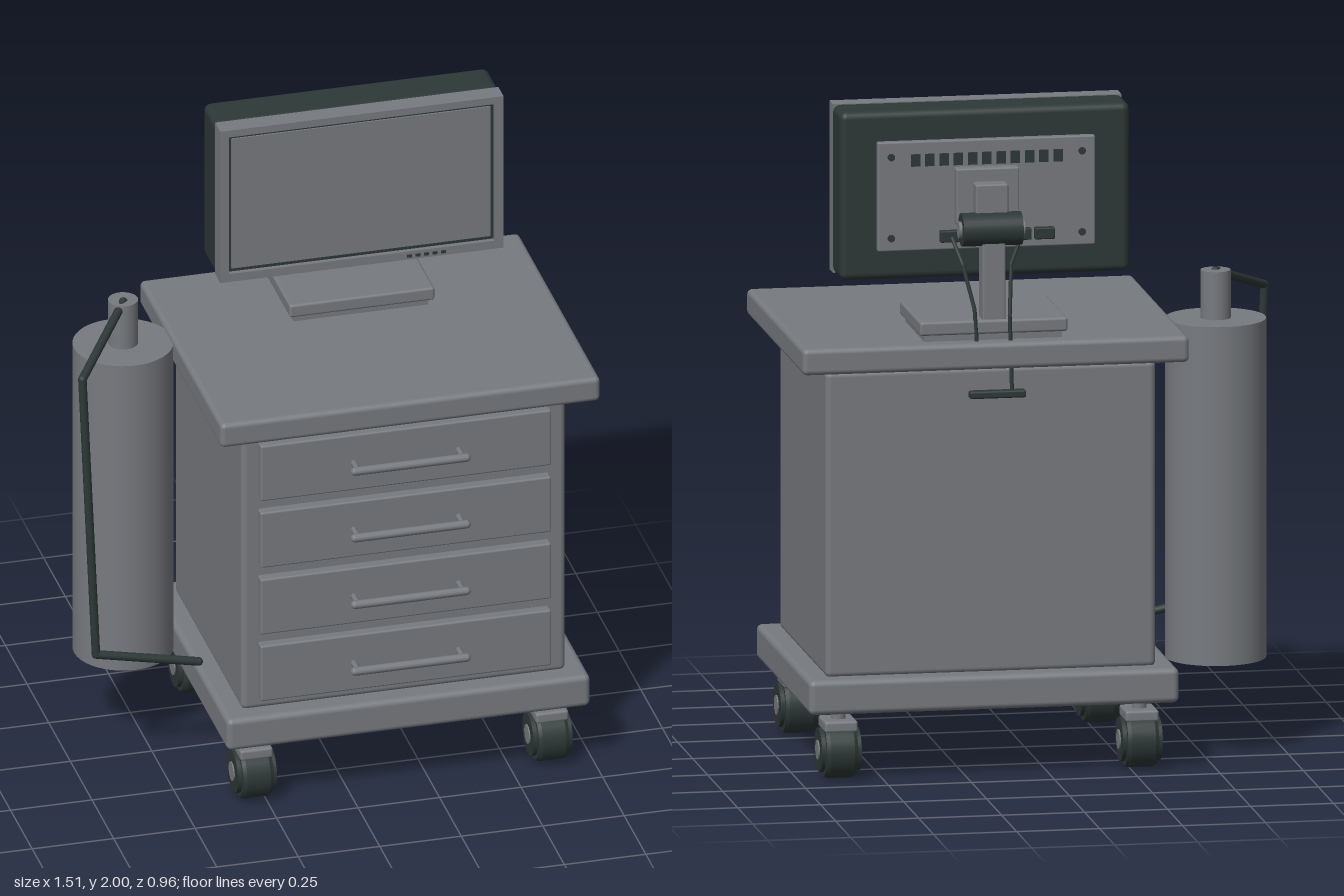
import * as THREE from 'three';
import { RoundedBoxGeometry } from 'three/addons/geometries/RoundedBoxGeometry.js';

export function createModel() {
  const root = new THREE.Group();
  root.name = 'equipmentCart';
  const material = (name, color) => {
    const m = new THREE.MeshStandardMaterial({ color });
    m.name = name;
    return m;
  };
  const grey = material('grey metal', 0x777a7f);
  const dark = material('dark rubber', 0x2d3836);

  const add = (name, geo, mat, parent = root) => {
    const mesh = new THREE.Mesh(geo, mat);
    mesh.name = name;
    parent.add(mesh);
    return mesh;
  };
  // box from its limits; r > 0 rounds the edges
  const box = (name, mat, x0, x1, y0, y1, z0, z1, r = 0, parent = root) => {
    const s = [x1 - x0, y1 - y0, z1 - z0];
    const geo = r ? new RoundedBoxGeometry(...s, 3, r) : new THREE.BoxGeometry(...s);
    const mesh = add(name, geo, mat, parent);
    mesh.position.set((x0 + x1) / 2, (y0 + y1) / 2, (z0 + z1) / 2);
    return mesh;
  };
  // cylinder centred at a point, along the axis 'x', 'y' or 'z'
  const cyl = (name, mat, r, len, axis, x, y, z, seg = 24, parent = root) => {
    const geo = new THREE.CylinderGeometry(r, r, len, seg);
    if (axis === 'x') geo.rotateZ(Math.PI / 2);
    if (axis === 'z') geo.rotateX(Math.PI / 2);
    const mesh = add(name, geo, mat, parent);
    mesh.position.set(x, y, z);
    return mesh;
  };
  // tube made of straight runs with ball joints
  const pipe = (name, mat, r, pts, parent = root) => {
    const g = new THREE.Group();
    g.name = name;
    parent.add(g);
    const v = pts.map((p) => new THREE.Vector3(...p));
    v.forEach((p, i) => {
      add(name + 'Joint', new THREE.SphereGeometry(r, 12, 8), mat, g).position.copy(p);
      if (!i) return;
      const run = new THREE.LineCurve3(v[i - 1], p);
      add(name + 'Run', new THREE.TubeGeometry(run, 1, r, 12), mat, g);
    });
  };

  // cabinet
  box('baseSlab', grey, -0.385, 0.73, 0.21, 0.315, -0.455, 0.44, 0.018);
  box('cabinetBody', grey, -0.325, 0.67, 0.31, 1.237, -0.395, 0.38, 0.018);
  box('topSpacer', grey, -0.1, 0.45, 1.23, 1.25, -0.29, 0.01);
  box('tableTop', grey, -0.41, 0.755, 1.245, 1.325, -0.485, 0.46, 0.016);

  // drawers with bar handles
  for (let i = 0; i < 4; i++) {
    const y = 0.443 + i * 0.2245;
    const drawer = new THREE.Group();
    drawer.name = 'drawer';
    root.add(drawer);
    box('drawerFront', grey, -0.275, 0.617, y - 0.093, y + 0.093, 0.375, 0.411, 0.006, drawer);
    const bar = add('handleBar', new THREE.CapsuleGeometry(0.013, 0.342, 4, 12), grey, drawer);
    bar.rotation.z = Math.PI / 2;
    bar.position.set(0.171, y, 0.465);
    for (const x of [0.01, 0.332]) cyl('handlePost', grey, 0.009, 0.06, 'z', x, y, 0.437, 10, drawer);
  }

  // casters: turned wheel profile with hub caps on both sides
  const wheelProfile = [[0, -0.06], [0.066, -0.06], [0.066, -0.047], [0.079, -0.047], [0.085, -0.036],
    [0.085, 0.036], [0.079, 0.047], [0.066, 0.047], [0.066, 0.06], [0, 0.06]];
  // each run gets its own points so the steps stay sharp
  const wheelPoints = wheelProfile.flatMap(([r, h]) => [new THREE.Vector2(r, h), new THREE.Vector2(r, h)]);
  const wheelGeo = new THREE.LatheGeometry(wheelPoints, 28).rotateZ(Math.PI / 2);
  for (const x of [-0.282, 0.625]) {
    for (const z of [0.335, -0.35]) {
      const caster = new THREE.Group();
      caster.name = 'caster';
      caster.position.set(x, 0.087, z);
      root.add(caster);
      add('wheel', wheelGeo, dark, caster);
      cyl('hub', grey, 0.03, 0.128, 'x', 0, 0, 0, 10, caster);
      box('bracket', grey, -0.05, 0.05, 0.06, 0.094, -0.058, 0.058, 0.008, caster);
      cyl('stem', grey, 0.022, 0.05, 'y', 0, 0.11, 0, 16, caster);
    }
  }

  // gas cylinder and hose
  cyl('tank', grey, 0.15, 1.025, 'y', -0.55, 0.7975, -0.145, 40);
  cyl('tankNeck', grey, 0.045, 0.15, 'y', -0.55, 1.38, -0.145, 24);
  pipe('hose', dark, 0.013, [[-0.55, 1.45, -0.14], [-0.745, 1.35, 0.12], [-0.71, 0.432, 0.145], [-0.395, 0.365, 0.145]]);

  // monitor
  const monitor = new THREE.Group();
  monitor.name = 'monitor';
  root.add(monitor);
  const rect = (P, x0, x1, y0, y1) => new P([[x0, y0], [x1, y0], [x1, y1], [x0, y1]].map((p) => new THREE.Vector2(...p)));
  const bezelShape = rect(THREE.Shape, -0.262, 0.607, 1.49, 2);
  bezelShape.holes.push(rect(THREE.Path, -0.235, 0.58, 1.517, 1.977));
  const bezel = new THREE.ExtrudeGeometry(bezelShape, { depth: 0.02, bevelEnabled: false });
  add('bezel', bezel, grey, monitor).position.z = -0.125;
  box('frontShell', grey, -0.262, 0.607, 1.49, 2, -0.165, -0.125, 0, monitor);
  box('screenRim', dark, -0.235, 0.58, 1.517, 1.977, -0.125, -0.12, 0, monitor);
  box('screen', grey, -0.225, 0.57, 1.529, 1.965, -0.12, -0.115, 0, monitor);
  box('rearShell', dark, -0.264, 0.609, 1.49, 2, -0.3, -0.157, 0.022, monitor);
  for (let i = 0; i < 5; i++) {
    const x = 0.318 + i * 0.026;
    box('button', dark, x - 0.007, x + 0.007, 1.499, 1.507, -0.106, -0.1, 0, monitor);
  }

  // rear panel with vents, screws and sockets
  box('rearPanel', grey, -0.155, 0.5, 1.58, 1.91, -0.322, -0.295, 0.005, monitor);
  for (let i = 0; i < 11; i++) {
    const x = 0.172 + (i - 5) * 0.043;
    box('ventSlot', dark, x - 0.014, x + 0.014, 1.835, 1.872, -0.326, -0.32, 0, monitor);
  }
  for (const x of [-0.115, 0.46])
    for (const y of [1.62, 1.865]) cyl('screw', dark, 0.011, 0.012, 'z', x, y, -0.323, 12, monitor);
  for (const [x, w] of [[0.0, 0.03], [0.065, 0.025], [0.285, 0.03]])
    box('plug', dark, x - w, x + w, 1.605, 1.64, -0.345, -0.32, 0.004, monitor);

  // stand
  const stand = new THREE.Group();
  stand.name = 'stand';
  root.add(stand);
  box('mountPlate', grey, 0.08, 0.27, 1.66, 1.83, -0.36, -0.32, 0.006, stand);
  box('mountBlock', grey, 0.122, 0.22, 1.64, 1.79, -0.41, -0.355, 0.006, stand);
  cyl('tiltPivot', dark, 0.05, 0.18, 'x', 0.174, 1.655, -0.405, 28, stand);
  for (const x of [0.08, 0.268]) cyl('pivotCap', grey, 0.025, 0.01, 'x', x, 1.655, -0.405, 16, stand);
  box('column', grey, 0.135, 0.205, 1.375, 1.63, -0.435, -0.37, 0.006, stand);
  box('standBase', grey, -0.05, 0.395, 1.345, 1.387, -0.445, -0.1, 0.008, stand);
  box('standFoot', grey, -0.035, 0.38, 1.32, 1.348, -0.43, -0.115, 0, stand);

  // cables and the hanging connector behind the top
  pipe('leftCable', dark, 0.006, [[0.28, 1.62, -0.34], [0.26, 1.55, -0.41], [0.23, 1.42, -0.44], [0.22, 1.25, -0.448]]);
  pipe('rightCable', dark, 0.006, [[0.07, 1.62, -0.34], [0.115, 1.55, -0.415], [0.125, 1.4, -0.445], [0.12, 1.17, -0.455]]);
  box('connector', dark, 0.08, 0.25, 1.155, 1.178, -0.475, -0.445, 0.006);
  return root;
}
